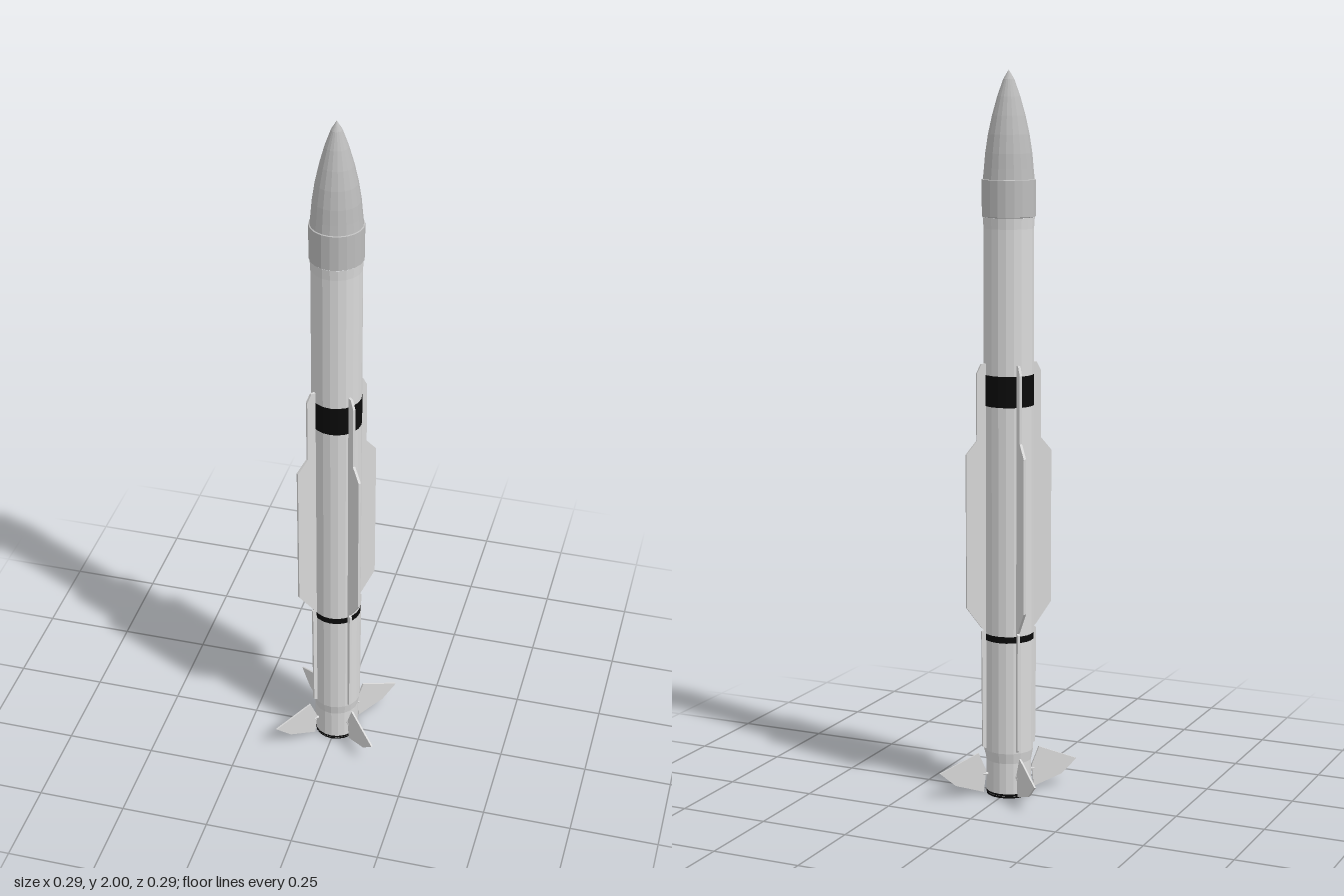
import * as THREE from 'three';

const SIDES = 20;

function material(name, color, extra = {}) {
  const m = new THREE.MeshStandardMaterial({ color, ...extra });
  m.name = name;
  return m;
}

export function createModel() {
  const model = new THREE.Group();
  model.name = 'rocket';
  const white = material('bodyPaleGrey', 0xdadada, { flatShading: true });
  const grey = material('noseGrey', 0xbdbdbd, { flatShading: true });
  const black = material('bandBlack', 0x0a0a0a, { flatShading: true });

  // Turned part from [radius, height] pairs, listed upwards on the outside
  const turned = (name, points, mat) => {
    const profile = points.map(([r, y]) => new THREE.Vector2(r, y));
    const mesh = new THREE.Mesh(new THREE.LatheGeometry(profile, SIDES), mat);
    mesh.name = name;
    model.add(mesh);
  };

  // Body with hollow nozzle and tapered boat tail
  turned('body', [
    [0, 0.07], [0.046, 0.07], [0.052, 0.006], [0.063, 0.006], [0.063, 0.1],
    [0.0685, 0.13], [0.0685, 1.58], [0.0705, 1.61],
  ], white);
  turned('collar', [[0.069, 1.61], [0.073, 1.612], [0.073, 1.71], [0.068, 1.712]], grey);
  turned('nose', [
    [0.07, 1.71], [0.067, 1.74], [0.0635, 1.78], [0.056, 1.83],
    [0.045, 1.88], [0.031, 1.93], [0.015, 1.975], [0, 2],
  ], grey);

  // Painted bands
  turned('upperBand', [[0.0685, 1.1], [0.069, 1.1], [0.069, 1.185], [0.0685, 1.185]], black);
  turned('lowerBand', [[0.0685, 0.446], [0.069, 0.446], [0.069, 0.464], [0.0685, 0.464]], black);
  turned('nozzleRim', [[0.052, 0.006], [0.053, 0], [0.062, 0], [0.0635, 0.01], [0.063, 0.012]], black);

  // Flat plate from a [radius, height] outline, centred on its thickness
  const plate = (name, outline, thickness, mat) => {
    const shape = new THREE.Shape(outline.map(([r, y]) => new THREE.Vector2(r, y)));
    const geo = new THREE.ExtrudeGeometry(shape, { depth: thickness, bevelEnabled: false });
    geo.translate(0, 0, -thickness / 2);
    const mesh = new THREE.Mesh(geo, mat);
    mesh.name = name;
    return mesh;
  };

  // Four identical sets of wing, cable strip and tail fin on the diagonals
  for (let i = 0; i < 4; i++) {
    const set = new THREE.Group();
    set.name = 'finSet' + (i + 1);
    set.rotation.y = Math.PI / 4 + i * Math.PI / 2;
    set.add(plate('wing', [
      [0.06, 0.46], [0.08, 0.48], [0.124, 0.54], [0.124, 0.968],
      [0.093, 1.005], [0.093, 1.19], [0.08, 1.215], [0.06, 1.215],
    ], 0.007, white));
    set.add(plate('lowerStrip', [
      [0.06, 0.13], [0.078, 0.14], [0.08, 0.47], [0.06, 0.48],
    ], 0.007, white));
    set.add(plate('tailFin', [
      [0.068, 0.07], [0.075, 0.008], [0.158, 0.035], [0.204, 0.075], [0.09, 0.122],
    ], 0.005, white));
    // Short shaft on which the tail fin turns
    const shaft = new THREE.Mesh(new THREE.CylinderGeometry(0.004, 0.004, 0.02, 8), white);
    shaft.name = 'finShaft';
    shaft.rotation.z = Math.PI / 2;
    shaft.position.set(0.066, 0.06, 0);
    set.add(shaft);
    model.add(set);
  }
  return model;
}
